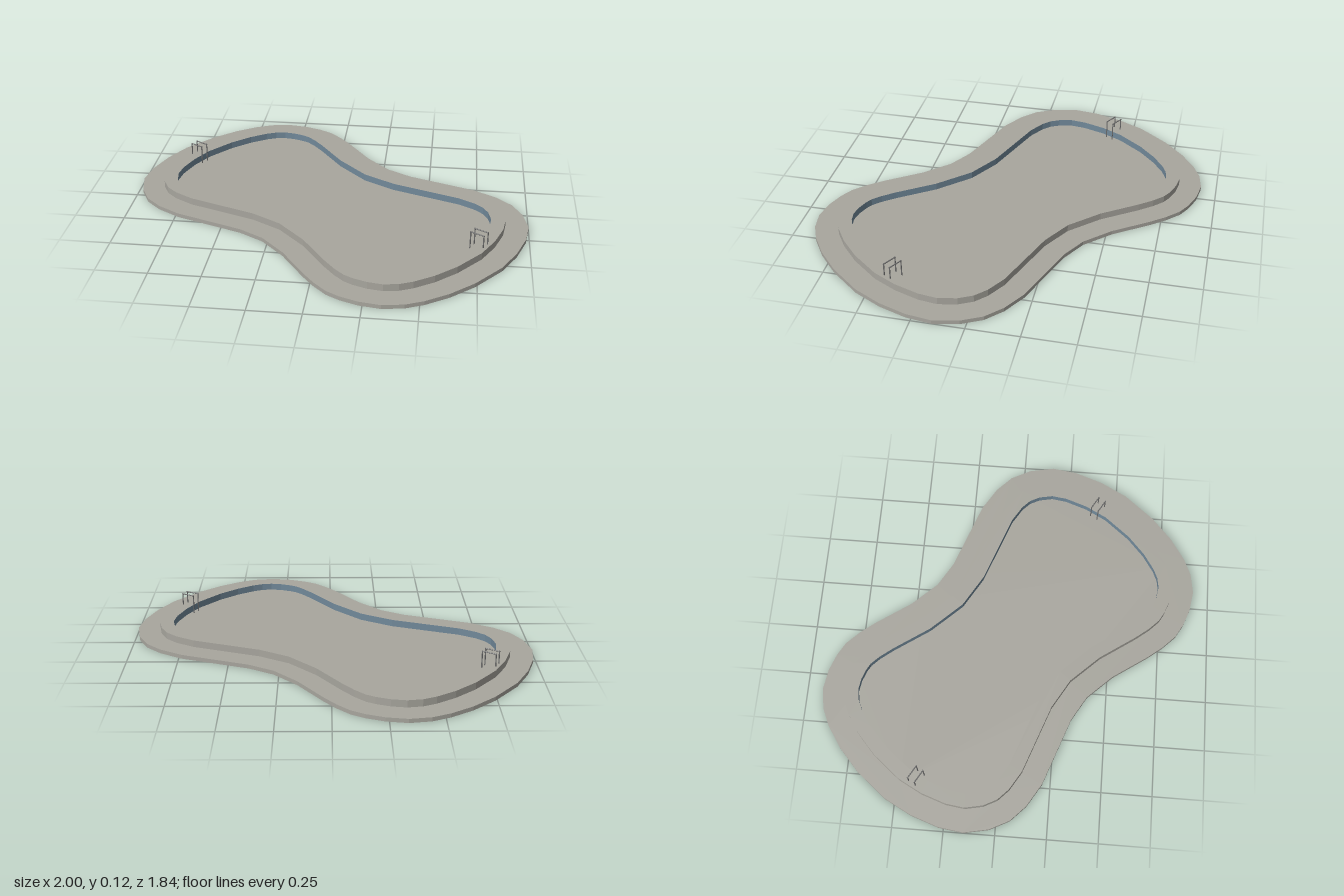
import * as THREE from 'three';

const mat = (name, color) => new THREE.MeshStandardMaterial({ name, color, side: THREE.DoubleSide, flatShading: true });

// Half of the deck outline (x, z); the other half is the same turned by 180 degrees
const HALF = [
  [-0.334, -0.922], [-0.233, -0.906], [-0.147, -0.874], [-0.083, -0.837], [-0.019, -0.773],
  [0.04, -0.698], [0.158, -0.527], [0.275, -0.404], [0.398, -0.332], [0.735, -0.21],
  [0.848, -0.142], [0.925, -0.068], [0.975, 0.029], [1.0, 0.152], [0.983, 0.275],
  [0.935, 0.414], [0.864, 0.548], [0.741, 0.698], [0.628, 0.799], [0.521, 0.869], [0.436, 0.906],
];

function deckOutline() {
  const half = HALF.map(([x, z]) => new THREE.Vector2(x, z));
  return [...half, ...half.map((p) => p.clone().negate())];
}

// Moves every corner of an outline inwards by the distance d
function inset(pts, d) {
  const n = pts.length;
  return pts.map((p, i) => {
    const a = p.clone().sub(pts[(i + n - 1) % n]).normalize();
    const b = pts[(i + 1) % n].clone().sub(p).normalize();
    const m = new THREE.Vector2(-a.y - b.y, a.x + b.x).normalize();
    const mitre = m.dot(new THREE.Vector2(-a.y, a.x));
    return p.clone().addScaledVector(m, d / mitre);
  });
}

// Upright band along an outline
function wall(pts, y0, y1) {
  const pos = [];
  pts.forEach((p, i) => {
    const q = pts[(i + 1) % pts.length];
    pos.push(p.x, y0, p.y, p.x, y1, p.y, q.x, y0, q.y);
    pos.push(q.x, y0, q.y, p.x, y1, p.y, q.x, y1, q.y);
  });
  const g = new THREE.BufferGeometry();
  g.setAttribute('position', new THREE.Float32BufferAttribute(pos, 3));
  g.computeVertexNormals();
  return g;
}

// Flat face inside an outline, with an optional hole
function cap(pts, y, hole) {
  const flip = (list) => list.map((p) => new THREE.Vector2(p.x, -p.y));
  const shape = new THREE.Shape(flip(pts));
  if (hole) shape.holes.push(new THREE.Path(flip(hole)));
  return new THREE.ShapeGeometry(shape).rotateX(-Math.PI / 2).translate(0, y, 0);
}

export function createModel() {
  const model = new THREE.Group();
  model.name = 'pool';
  const concrete = mat('concrete', 0xa8a69e);
  const tile = mat('blueTile', 0x71899a);
  const steel = mat('steel', 0x6e6e6e);

  const add = (parent, name, geometry, material) => {
    const mesh = new THREE.Mesh(geometry, material);
    mesh.name = name;
    parent.add(mesh);
    return mesh;
  };

  const outer = deckOutline();
  const copingOuter = inset(outer, 0.112);
  const copingInner = inset(outer, 0.181);
  const deckY = 0.02, copingY = 0.055, railY = 0.12;

  // Low deck and basin floor, open underneath
  add(model, 'deckTop', cap(outer, deckY, copingOuter), concrete);
  add(model, 'deckSide', wall(outer, 0, deckY), concrete);
  add(model, 'basinFloor', cap(copingOuter, deckY), concrete);

  // Raised coping with a tiled inner face
  add(model, 'copingTop', cap(copingOuter, copingY, copingInner), concrete);
  add(model, 'copingSide', wall(copingOuter, 0.005, copingY), concrete);
  add(model, 'tiledWall', wall([...copingInner].reverse(), deckY, copingY), tile);

  // A pair of bent handrails at each end of the pool
  const r = 0.003, span = 0.07;
  for (const s of [-1, 1]) {
    const ladder = new THREE.Group();
    ladder.name = s < 0 ? 'rightLadder' : 'leftLadder';
    for (const z of [-0.02, 0.02]) {
      const post = (name, x, y0) => {
        const h = railY - y0;
        add(ladder, name, new THREE.CylinderGeometry(r, r, h, 6).translate(x, y0 + h / 2, z), steel);
      };
      post('outerPost', -span / 2, copingY);
      post('innerPost', span / 2, deckY);
      add(ladder, 'handrail', new THREE.CylinderGeometry(r, r, span + 2 * r, 6)
        .rotateZ(Math.PI / 2).translate(0, railY - r, z), steel);
    }
    // local +x points towards the water
    ladder.position.set(0.755 * s, 0, 0.402 * s);
    ladder.rotation.y = -Math.PI / 6 + (s > 0 ? Math.PI : 0);
    model.add(ladder);
  }
  return model;
}
